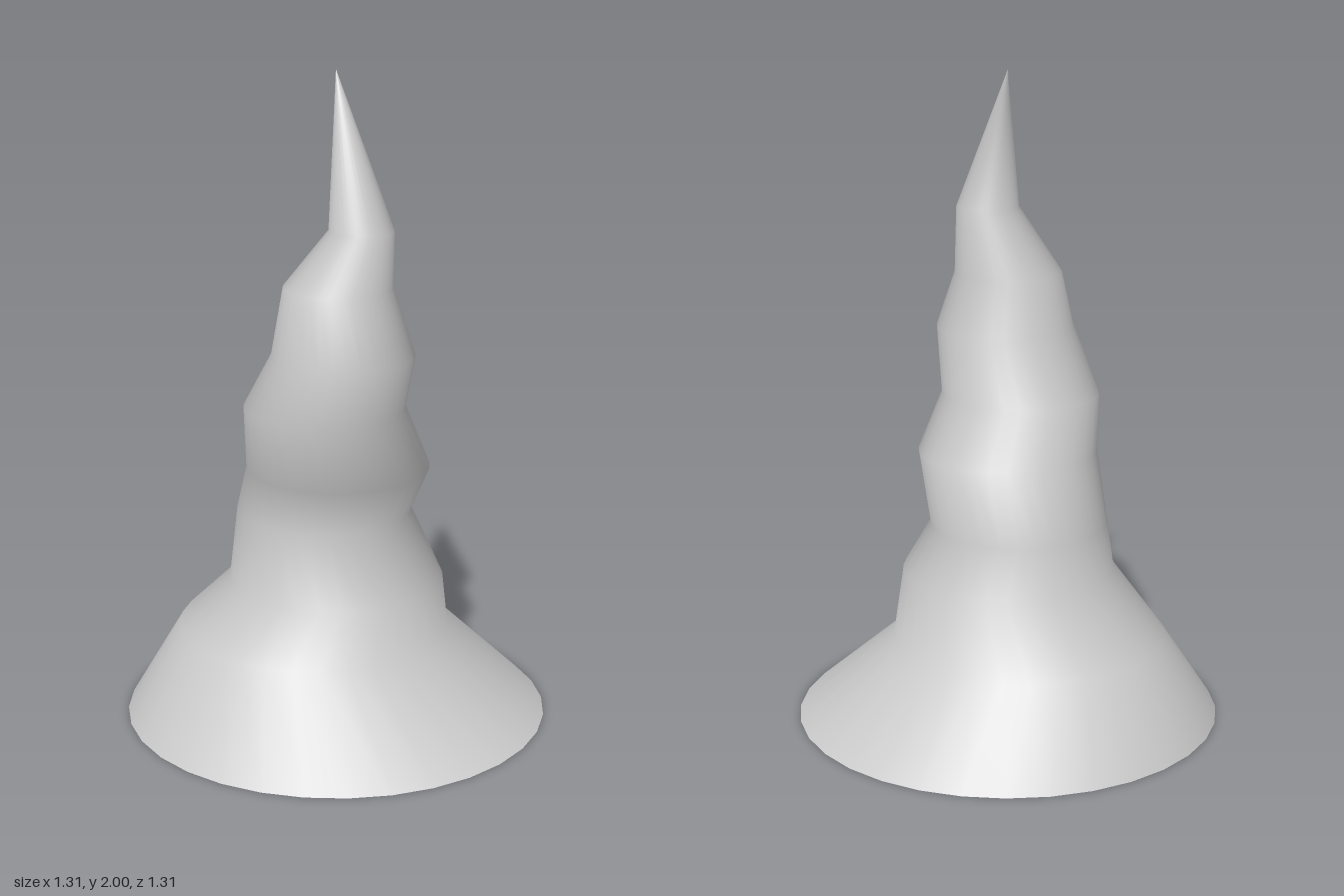
import * as THREE from 'three';

const SIDES = 32;

// Horizontal rings of the twisted spire: height, centre x, centre z, radius
const RINGS = [
  [0, 0, 0, 0.655],
  [0.27, -0.015, -0.08, 0.42],
  [0.455, -0.035, 0.033, 0.328],
  [0.64, 0.02, -0.068, 0.27],
  [0.825, -0.063, 0.065, 0.277],
  [1.01, -0.088, 0.033, 0.243],
  [1.195, -0.128, 0.143, 0.212],
  [1.38, -0.078, 0.078, 0.163],
  [1.565, -0.09, 0.18, 0.096],
  [2, 0, 0, 0.0005],
];

// Smooth skin lofted through the offset rings, welded around the seam
function loft(rings) {
  const positions = [];
  const indices = [];
  rings.forEach(([y, cx, cz, r], i) => {
    for (let j = 0; j < SIDES; j++) {
      const a = (j / SIDES) * Math.PI * 2;
      positions.push(cx + r * Math.sin(a), y, cz + r * Math.cos(a));
      if (i === rings.length - 1) continue;
      const p = i * SIDES + j;
      const q = i * SIDES + ((j + 1) % SIDES);
      indices.push(p, q, p + SIDES, q, q + SIDES, p + SIDES);
    }
  });
  const geometry = new THREE.BufferGeometry();
  geometry.setAttribute('position', new THREE.Float32BufferAttribute(positions, 3));
  geometry.setIndex(indices);
  geometry.computeVertexNormals();
  return geometry;
}

export function createModel() {
  const group = new THREE.Group();
  group.name = 'twistedSpire';
  const grey = new THREE.MeshStandardMaterial({ color: 0xcccccc });
  grey.name = 'light grey';

  const spire = new THREE.Mesh(loft(RINGS), grey);
  spire.name = 'spire';

  // Flat underside
  const base = new THREE.Mesh(new THREE.CircleGeometry(RINGS[0][3], SIDES).rotateX(Math.PI / 2), grey);
  base.name = 'base';

  group.add(spire, base);
  return group;
}
